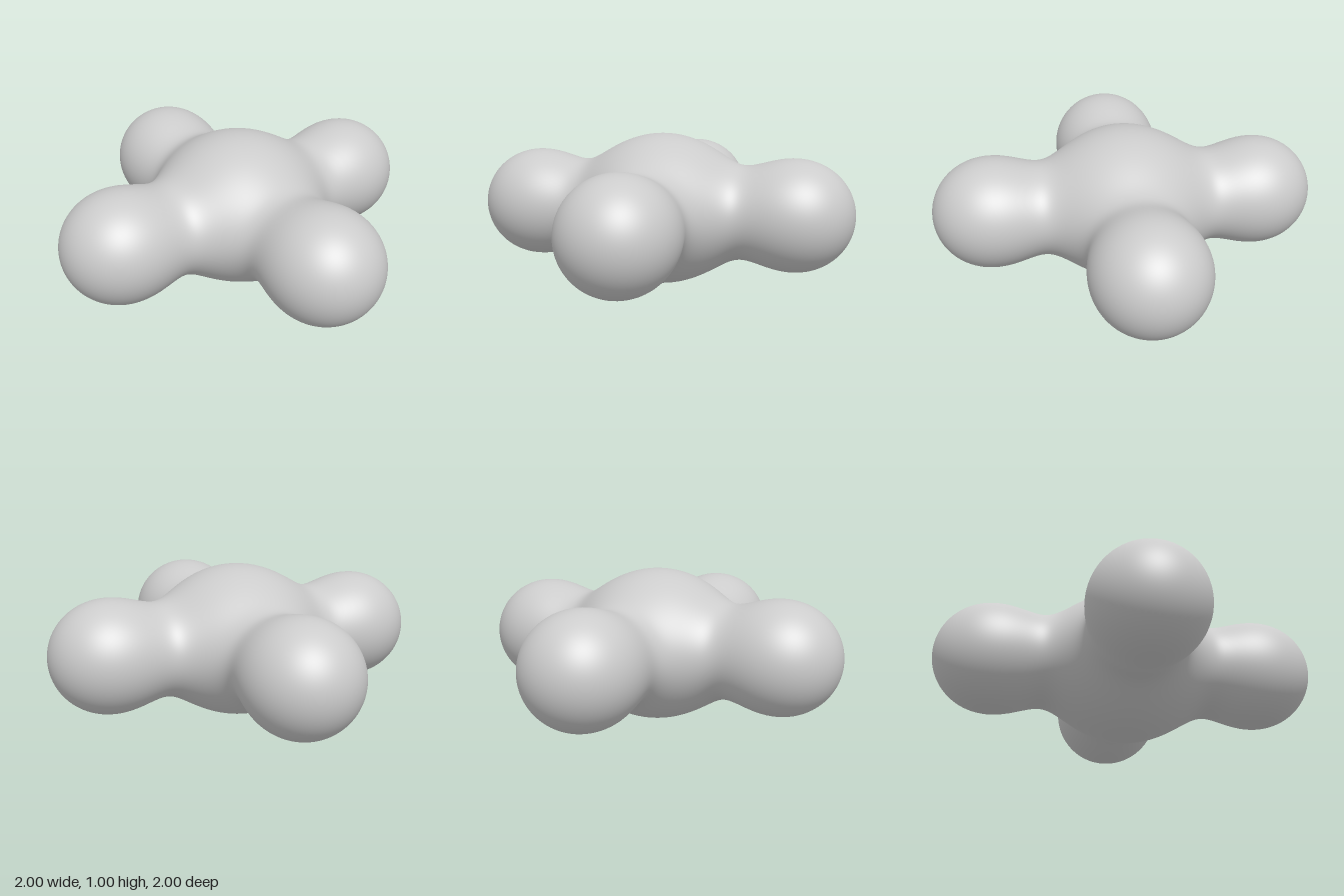
import * as THREE from 'three';
import { mergeVertices } from 'three/addons/utils/BufferGeometryUtils.js';

// Charges of the blended surface: a large core and four lobes on the diagonals
const LOBE = 0.655;
const balls = [{ c: new THREE.Vector3(0, 0, 0), s: 0.166 }];
for (const x of [-1, 1]) {
  for (const z of [-1, 1]) balls.push({ c: new THREE.Vector3(x * LOBE, 0, z * LOBE), s: 0.093 });
}

// Inverse-square field; the surface lies where it equals 1
const field = (p) => balls.reduce((sum, b) => sum + b.s / (p.distanceToSquared(b.c) + 1e-9), 0);

// Outward normal, against the gradient of the field
function surfaceNormal(p) {
  const n = new THREE.Vector3();
  for (const b of balls) {
    const d = p.clone().sub(b.c);
    n.addScaledVector(d, b.s / d.lengthSq() ** 2);
  }
  return n.normalize();
}

// Distance from the centre to the surface along a direction
function surfaceRadius(dir) {
  const p = new THREE.Vector3();
  let inside = 0.2, outside = 1.7;
  for (let i = 0; i < 26; i++) {
    const mid = (inside + outside) / 2;
    if (field(p.copy(dir).multiplyScalar(mid)) > 1) inside = mid;
    else outside = mid;
  }
  return inside;
}

// Evenly divided sphere pushed out to the blended surface
function blobGeometry() {
  let geo = new THREE.IcosahedronGeometry(1, 64);
  geo.deleteAttribute('uv');
  geo.deleteAttribute('normal');
  geo = mergeVertices(geo, 1e-4);
  const pos = geo.attributes.position;
  const normals = new Float32Array(pos.count * 3);
  const v = new THREE.Vector3();
  for (let i = 0; i < pos.count; i++) {
    v.fromBufferAttribute(pos, i).normalize();
    v.multiplyScalar(surfaceRadius(v));
    pos.setXYZ(i, v.x, v.y, v.z);
    surfaceNormal(v).toArray(normals, i * 3);
  }
  geo.setAttribute('normal', new THREE.BufferAttribute(normals, 3));
  return geo;
}

export function createModel() {
  const group = new THREE.Group();
  group.name = 'fourLobedBlob';
  const blob = new THREE.Mesh(blobGeometry(), new THREE.MeshStandardMaterial({ color: 0xcccccc }));
  blob.name = 'coreWithLobes';
  blob.geometry.computeBoundingBox();
  blob.position.y = -blob.geometry.boundingBox.min.y;
  group.add(blob);
  return group;
}
